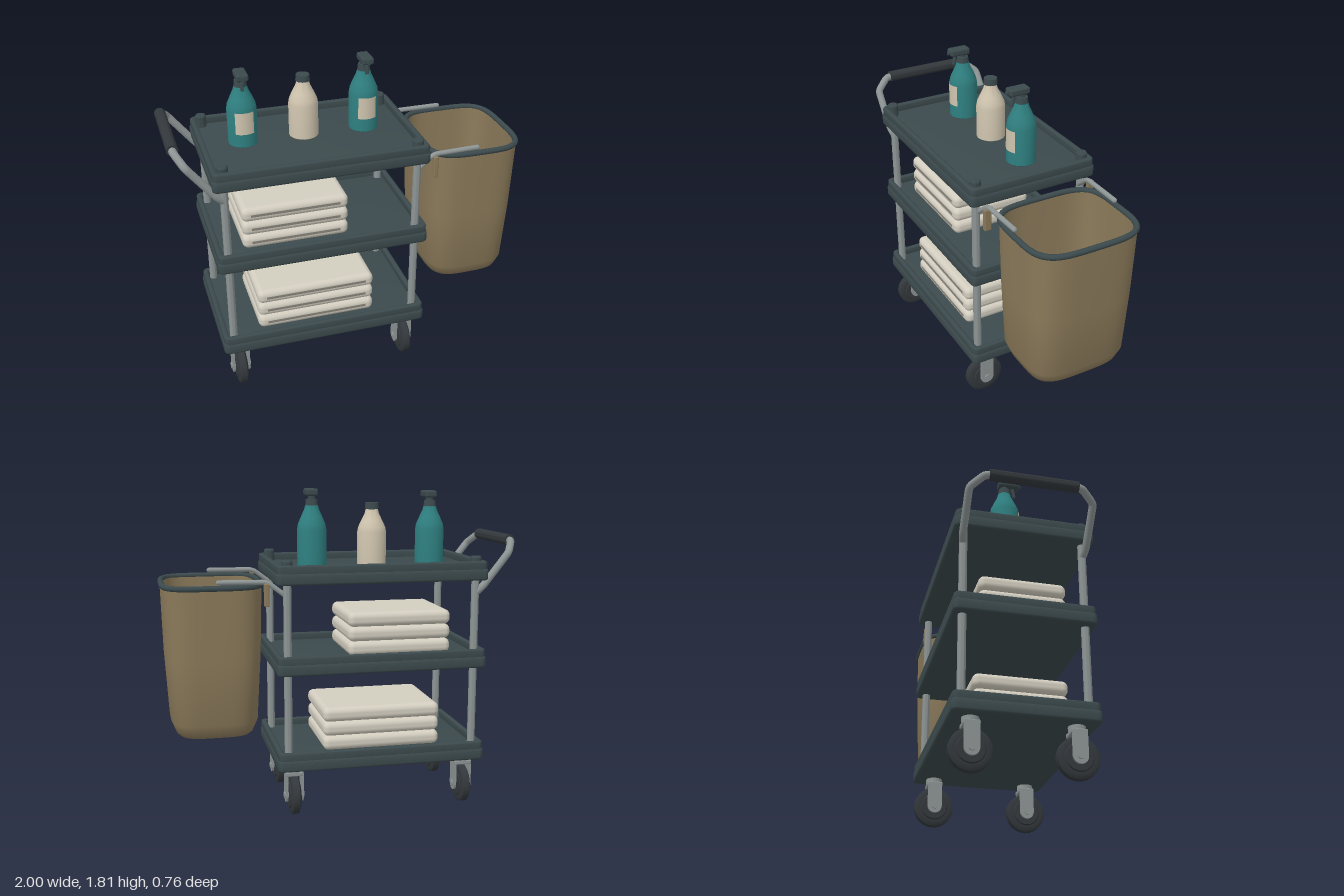
import * as THREE from 'three';
import { toCreasedNormals } from 'three/addons/utils/BufferGeometryUtils.js';
import { RoundedBoxGeometry } from 'three/addons/geometries/RoundedBoxGeometry.js';

const mat = (color, side = THREE.FrontSide) => new THREE.MeshStandardMaterial({ color, side });
const slate = mat(0x3c4a4d), metal = mat(0x8d9494), rubber = mat(0x33383c), tan = mat(0x8b7a5a);
const teal = mat(0x2f7f80), cream = mat(0xcfc4ae), linen = mat(0xd2cdbf), fold = mat(0x87837a);
const label = mat(0xcfc4ae, THREE.DoubleSide);
const V = (x, y, z) => new THREE.Vector3(x, y, z);

function add(parent, name, geometry, material, x = 0, y = 0, z = 0) {
  const m = new THREE.Mesh(geometry, material);
  m.name = name;
  m.position.set(x, y, z);
  parent.add(m);
  return m;
}

function group(parent, name, x = 0, y = 0, z = 0) {
  const g = new THREE.Group();
  g.name = name;
  g.position.set(x, y, z);
  parent.add(g);
  return g;
}

const cyl = (r, h, r2 = r, n = 24) => toCreasedNormals(new THREE.CylinderGeometry(r2, r, h, n), 0.6);
const lathe = pts => toCreasedNormals(new THREE.LatheGeometry(pts.map(p => new THREE.Vector2(...p)), 28), 0.6);

// Tube along straight runs with rounded bends
function bentTube(points, radius, bend = 0.03) {
  const path = new THREE.CurvePath();
  let from = points[0];
  for (let i = 1; i < points.length - 1; i++) {
    const p = points[i];
    const a = p.clone().add(points[i - 1].clone().sub(p).setLength(bend));
    const b = p.clone().add(points[i + 1].clone().sub(p).setLength(bend));
    path.add(new THREE.LineCurve3(from, a));
    path.add(new THREE.QuadraticBezierCurve3(a, p, b));
    from = b;
  }
  path.add(new THREE.LineCurve3(from, points[points.length - 1]));
  return new THREE.TubeGeometry(path, 90, radius, 14);
}

function roundRect(path, w, d, r) {
  const x = w / 2, y = d / 2;
  path.moveTo(-x + r, -y);
  path.lineTo(x - r, -y).absarc(x - r, -y + r, r, -Math.PI / 2, 0);
  path.lineTo(x, y - r).absarc(x - r, y - r, r, 0, Math.PI / 2);
  path.lineTo(-x + r, y).absarc(-x + r, y - r, r, Math.PI / 2, Math.PI);
  path.lineTo(-x, -y + r).absarc(-x + r, -y + r, r, Math.PI, Math.PI * 1.5);
  return path;
}

// Horizontal rounded slab, optionally open in the middle
function slab(w, d, h, bevel, wall = 0) {
  const shape = roundRect(new THREE.Shape(), w, d, 0.03);
  if (wall) shape.holes.push(roundRect(new THREE.Path(), w - 2 * wall, d - 2 * wall, 0.015));
  const g = new THREE.ExtrudeGeometry(shape, {
    depth: h - 2 * bevel, bevelThickness: bevel, bevelSize: bevel, bevelOffset: -bevel,
    bevelSegments: 3, curveSegments: 6
  });
  g.translate(0, 0, bevel).rotateX(-Math.PI / 2);
  return toCreasedNormals(g, 0.6);
}

function tray(parent, name, y) {
  const g = group(parent, name, -0.205, y, 0);
  add(g, 'trayBase', slab(1.19, 0.76, 0.065, 0.012), slate);
  add(g, 'trayRim', slab(1.18, 0.75, 0.065, 0.01, 0.03), slate, 0, 0.042, 0);
}

function towelStack(parent, name, x, y, z, w, d) {
  const g = group(parent, name, x, y, z);
  for (let i = 0; i < 3; i++) {
    const cy = 0.042 + i * 0.083;
    add(g, 'foldedTowel', new RoundedBoxGeometry(w, 0.083, d, 5, 0.034), linen, 0, cy, 0);
    add(g, 'towelFold', new THREE.BoxGeometry(w - 0.1, 0.014, 0.004), fold, 0, cy, d / 2);
  }
}

function bottle(parent, x, h, spray) {
  const g = group(parent, spray ? 'sprayBottle' : 'bottle', x, 1.37, -0.055);
  const s = h / 0.44;
  add(g, 'bottleBody', lathe([[0, 0], [0.075, 0], [0.082, 0.008], [0.082, 0.215 * s], [0.077, 0.245 * s],
    [0.06, 0.285 * s], [0.042, 0.325 * s], [0.034, 0.355 * s], [0, 0.355 * s]]), spray ? teal : cream);
  if (!spray) {
    add(g, 'cap', cyl(0.04, 0.035, 0.037), slate, 0, 0.343, 0);
    add(g, 'capCollar', cyl(0.031, 0.03), slate, 0, 0.318, 0);
    return;
  }
  add(g, 'label', new THREE.CylinderGeometry(0.0835, 0.0835, 0.125, 12, 1, true, -0.65, 1.3), label, 0, 0.145, 0);
  add(g, 'collar', cyl(0.036, 0.035, 0.032), slate, 0, 0.365 * s, 0);
  add(g, 'sprayNeck', cyl(0.02, 0.04), slate, 0, 0.395 * s, 0);
  add(g, 'sprayHead', new RoundedBoxGeometry(0.066, 0.04, 0.12, 3, 0.012), slate, 0, h - 0.02, 0.025);
  add(g, 'nozzle', cyl(0.012, 0.014), slate, 0, h - 0.022, 0.088).rotation.x = Math.PI / 2;
  add(g, 'trigger', new RoundedBoxGeometry(0.02, 0.07, 0.016, 2, 0.005), slate, 0, h - 0.065, 0.052).rotation.x = -0.2;
}

function caster(parent, x, z) {
  const g = group(parent, 'caster', x, 0, z);
  const wheel = lathe([[0, -0.032], [0.07, -0.032], [0.075, -0.026], [0.095, -0.026], [0.11, -0.018],
    [0.11, 0.018], [0.095, 0.026], [0.075, 0.026], [0.07, 0.032], [0, 0.032]]).rotateZ(Math.PI / 2);
  add(g, 'wheel', wheel, rubber, 0, 0.11, 0);
  add(g, 'axle', cyl(0.018, 0.115).rotateZ(Math.PI / 2), metal, 0, 0.11, 0);
  add(g, 'forkCrown', new RoundedBoxGeometry(0.1, 0.025, 0.085, 2, 0.006), metal, 0, 0.24, 0);
  add(g, 'swivel', cyl(0.045, 0.035), metal, 0, 0.263, 0);
  for (const s of [-1, 1]) {
    add(g, 'forkPlate', new THREE.BoxGeometry(0.012, 0.135, 0.08), metal, s * 0.044, 0.178, 0);
    add(g, 'forkEnd', cyl(0.04, 0.012).rotateZ(Math.PI / 2), metal, s * 0.044, 0.11, 0);
  }
}

// Bin cross-section: a rounded square
function binPoint(a, hx, hz) {
  const p = v => Math.sign(v) * Math.pow(Math.abs(v), 0.5);
  return [hx * p(Math.cos(a)), hz * p(Math.sin(a))];
}

function binShell() {
  // height, half width, half depth: up the outside, down the inside
  const rings = [[0.46, 0.001, 0.001], [0.46, 0.2, 0.245], [0.475, 0.217, 0.262], [0.54, 0.243, 0.288],
    [0.9, 0.264, 0.302], [1.3, 0.275, 0.312], [1.3, 0.258, 0.295], [0.9, 0.248, 0.286],
    [0.55, 0.228, 0.272], [0.49, 0.2, 0.245], [0.48, 0.001, 0.001]];
  const n = 64, pos = [], idx = [];
  rings.forEach(([y, hx, hz], r) => {
    for (let i = 0; i < n; i++) {
      const [x, z] = binPoint(i / n * Math.PI * 2, hx, hz);
      pos.push(x, y, z);
      if (r === rings.length - 1) continue;
      const a = r * n + i, b = r * n + (i + 1) % n;
      idx.push(a, a + n, b, b, a + n, b + n);
    }
  });
  const g = new THREE.BufferGeometry();
  g.setAttribute('position', new THREE.Float32BufferAttribute(pos, 3));
  g.setIndex(idx);
  return toCreasedNormals(g, 0.7);
}

export function createModel() {
  const model = new THREE.Group();
  model.name = 'serviceCart';

  // Trays, posts and casters
  tray(model, 'bottomTray', 0.275);
  tray(model, 'middleTray', 0.815);
  tray(model, 'topTray', 1.31);
  for (const z of [-1, 1]) {
    for (const x of [-0.737, 0.327]) {
      add(model, 'post', cyl(0.022, 1.09), metal, x, 0.865, z * 0.325);
      add(model, 'postCap', lathe([[0, 0], [0.031, 0], [0.031, 0.06], [0.025, 0.068], [0, 0.068]]), slate, x, 1.375, z * 0.325);
    }
    for (const x of [-0.7, 0.29]) caster(model, x, z * 0.27);
  }

  // Push handle
  const handle = group(model, 'pushHandle');
  const side = s => [V(-0.737, 1.235, s * 0.325), V(-0.775, 1.27, s * 0.335), V(-0.925, 1.46, s * 0.335), V(-0.968, 1.518, s * 0.26)];
  add(handle, 'handleTube', bentTube([...side(1), ...side(-1).reverse()], 0.021, 0.02), metal);
  add(handle, 'grip', cyl(0.031, 0.48).rotateX(Math.PI / 2), rubber, -0.968, 1.52, 0);

  // Linen and bottles
  towelStack(model, 'middleTowels', -0.34, 0.876, 0.025, 0.6, 0.48);
  towelStack(model, 'bottomTowels', -0.235, 0.336, 0.025, 0.685, 0.51);
  bottle(model, -0.55, 0.425, true);
  bottle(model, -0.207, 0.4, false);
  bottle(model, 0.14, 0.44, true);

  // Hanging waste bin with its rim
  const bin = group(model, 'wasteBin', 0.712, 0, 0);
  add(bin, 'binShell', binShell(), tan);
  const rim = [];
  for (let i = 0; i < 64; i++) {
    const [x, z] = binPoint(i / 64 * Math.PI * 2, 0.27, 0.308);
    rim.push(V(x, 1.298, z));
  }
  add(bin, 'binRim', new THREE.TubeGeometry(new THREE.CatmullRomCurve3(rim, true), 128, 0.016, 10, true), slate);

  // Bin support arms and hooks
  for (const s of [-1, 1]) {
    const arm = [V(0.327, 1.245, s * 0.315), V(0.43, 1.325, s * 0.303), V(0.69, 1.328, s * 0.298)];
    add(model, 'binArm', bentTube(arm, 0.014, 0.03), metal);
    add(model, 'armEnd', new THREE.SphereGeometry(0.014, 12, 8), metal, 0.69, 1.328, s * 0.298);
    add(model, 'binHook', new RoundedBoxGeometry(0.026, 0.125, 0.04, 2, 0.006), tan, 0.437, 1.257, s * 0.315);
  }
  return model;
}
